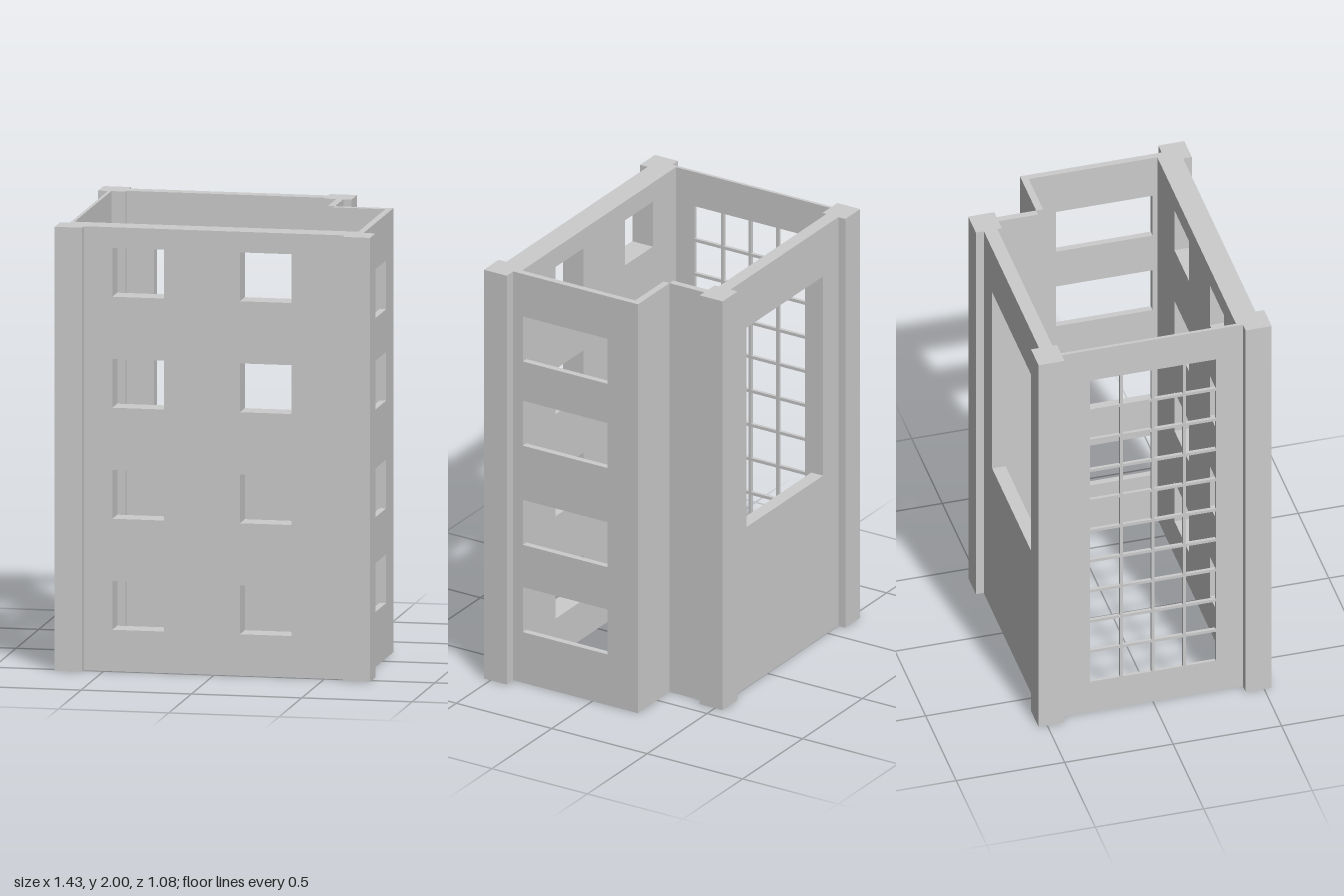
import * as THREE from 'three';

const H = 2;
const material = new THREE.MeshStandardMaterial({ color: 0xcccccc, flatShading: true });

function add(group, name, geometry) {
  const mesh = new THREE.Mesh(geometry, material);
  mesh.name = name;
  group.add(mesh);
  return mesh;
}

function box(group, name, x0, x1, y0, y1, z0, z1) {
  const mesh = add(group, name, new THREE.BoxGeometry(x1 - x0, y1 - y0, z1 - z0));
  mesh.position.set((x0 + x1) / 2, (y0 + y1) / 2, (z0 + z1) / 2);
  return mesh;
}

// Upright slab from u0 to u1 with rectangular openings [u0, u1, y0, y1]
function slab(u0, u1, openings, depth) {
  const outline = (C, a, b, c, d) => new C([
    new THREE.Vector2(a, c), new THREE.Vector2(b, c),
    new THREE.Vector2(b, d), new THREE.Vector2(a, d),
  ]);
  const shape = outline(THREE.Shape, u0, u1, 0, H);
  for (const o of openings) shape.holes.push(outline(THREE.Path, ...o));
  return new THREE.ExtrudeGeometry(shape, { depth, bevelEnabled: false });
}

// Wall running along x
function wallX(group, name, x0, x1, z0, z1, openings) {
  add(group, name, slab(x0, x1, openings, z1 - z0)).position.z = z0;
}

// Wall running along z
function wallZ(group, name, x0, x1, z0, z1, openings) {
  const geometry = slab(z0, z1, openings, x1 - x0).rotateY(-Math.PI / 2);
  add(group, name, geometry).position.x = x1;
}

export function createModel() {
  const tower = new THREE.Group();
  tower.name = 'towerBlock';

  // Corner pillars
  const pillars = [
    ['frontRightPillar', -0.715, 0.415], ['frontLeftPillar', 0.59, 0.415],
    ['backRightPillar', -0.715, -0.54], ['backLeftPillar', 0.31, -0.54],
  ];
  for (const [name, x, z] of pillars) box(tower, name, x, x + 0.124, 0, H, z, z + 0.12);

  // Front wall with two columns of windows
  const frontWindows = [];
  for (let floor = 0; floor < 4; floor++) {
    const y = 0.187 + floor * 0.5;
    for (const x of [-0.462, 0.116]) frontWindows.push([x, x + 0.234, y, y + 0.22]);
  }
  wallX(tower, 'frontWall', -0.67, 0.66, 0.387, 0.495, frontWindows);

  // Back wall with one large opening
  wallX(tower, 'backWall', -0.6, 0.315, -0.503, -0.441, [[-0.465, 0.175, 0.785, 1.76]]);

  // Wide windows on the +x side
  const sideWindows = [0.248, 0.675, 1.16, 1.572].map((y) => [-0.08, 0.365, y, y + 0.22]);
  wallZ(tower, 'leftWall', 0.63, 0.66, -0.206, 0.387, sideWindows);

  // Stepped-in back corner
  wallX(tower, 'notchBackWall', 0.395, 0.66, -0.238, -0.206, []);
  wallZ(tower, 'notchSideWall', 0.364, 0.396, -0.42, -0.238, []);

  // Thin -x wall with a tall latticed window
  const [x0, x1, zEdge, y0, y1] = [-0.67, -0.655, 0.29, 0.167, 1.833];
  wallZ(tower, 'rightWall', x0, x1, -0.42, 0.387, [[-zEdge, zEdge, y0, y1]]);
  const lattice = new THREE.Group();
  lattice.name = 'windowLattice';
  tower.add(lattice);
  const half = 0.007;
  for (let i = 1; i < 4; i++) {
    const z = -zEdge + (i * 2 * zEdge) / 4;
    box(lattice, 'uprightBar', x0, x1, y0, y1, z - half, z + half);
  }
  for (let i = 1; i < 10; i++) {
    const y = y0 + (i * (y1 - y0)) / 10;
    box(lattice, 'crossBar', x0, x1, y - half, y + half, -zEdge, zEdge);
  }

  return tower;
}
